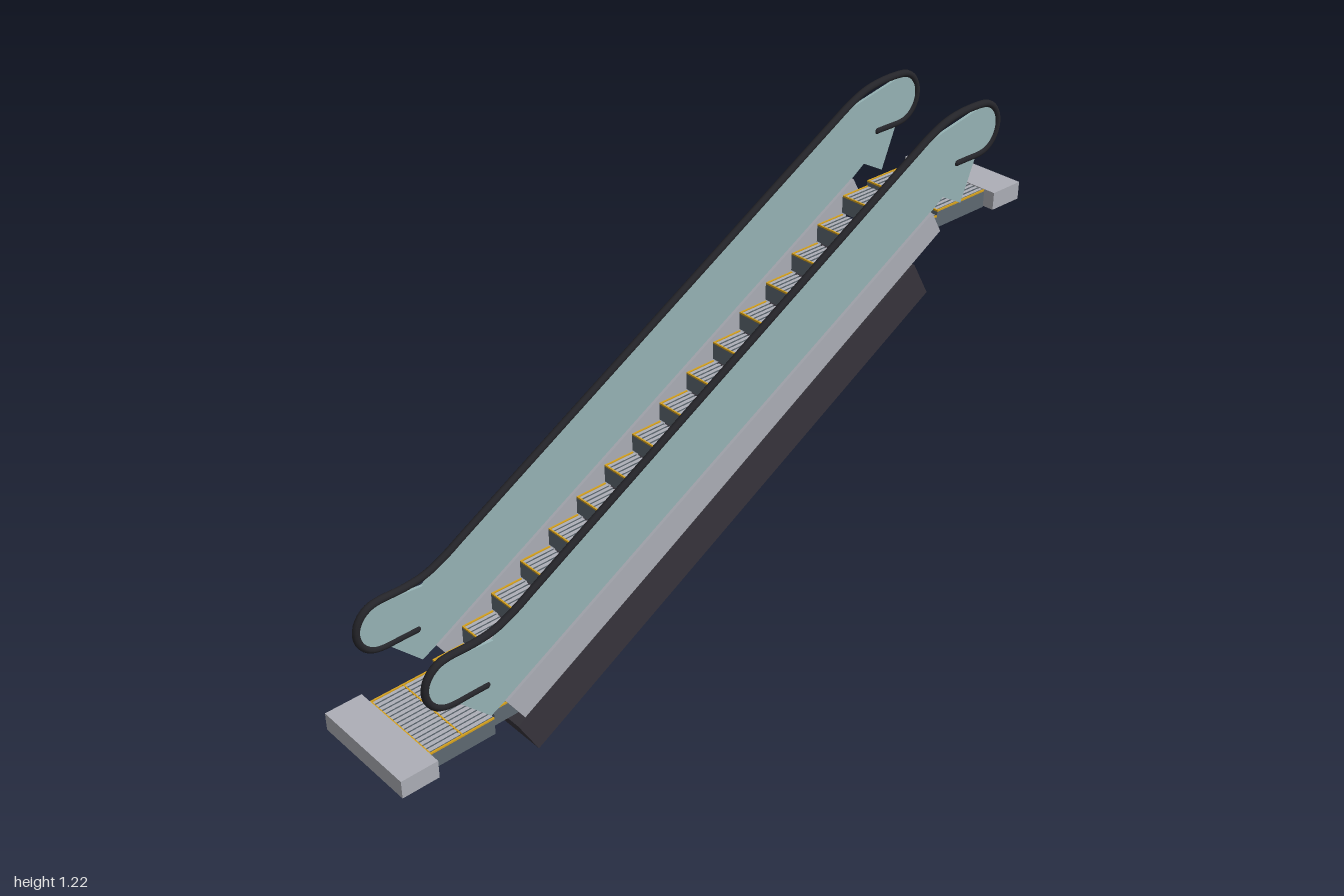
import * as THREE from 'three';

const mat = (name, color, side = THREE.FrontSide) => {
  const m = new THREE.MeshStandardMaterial({ color, side });
  m.name = name;
  return m;
};

export function createModel() {
  const steel = mat('brushed steel', 0xadafb7);
  const slate = mat('slate metal', 0x5f6a72);
  const dark = mat('dark truss', 0x37343c);
  const rubber = mat('black rubber', 0x25252a);
  const glass = mat('tinted glass', 0x97b4b6, THREE.DoubleSide);
  const yellow = mat('safety yellow', 0xd6a21e);

  const model = new THREE.Group();
  model.name = 'escalator';

  const add = (name, geo, material, parent = model) => {
    const mesh = new THREE.Mesh(geo, material);
    mesh.name = name;
    parent.add(mesh);
    return mesh;
  };
  // Box given by its lower and upper corners
  const box = (name, x0, x1, y0, y1, z0, z1, material, parent) => {
    const mesh = add(name, new THREE.BoxGeometry(x1 - x0, y1 - y0, z1 - z0), material, parent);
    mesh.position.set((x0 + x1) / 2, (y0 + y1) / 2, (z0 + z1) / 2);
    return mesh;
  };
  // Side profile extruded between two z values
  const slab = (name, shape, z0, z1, material, parent) => {
    const geo = new THREE.ExtrudeGeometry(shape, { depth: z1 - z0, bevelEnabled: false, curveSegments: 14 });
    geo.translate(0, 0, z0);
    return add(name, geo, material, parent);
  };
  const polygon = (pts) => new THREE.Shape(pts.map(([x, y]) => new THREE.Vector2(x, y)));

  // Inclined truss
  slab('truss', polygon([[-0.62, 0], [0.668, 0.749], [0.613, 0.845], [-0.675, 0.1]]), -0.148, 0.148, dark);

  // Landing plates
  box('lowerLanding', -1, -0.9, 0.088, 0.137, -0.152, 0.152, steel);
  box('upperLanding', 0.9, 1, 0.905, 0.952, -0.152, 0.152, steel);

  // Steps: two flat ones at each end, the rest climbing
  const count = 20, run = 0.09, half = 0.12;
  const topOf = (i) => {
    if (i < 2) return 0.135;
    if (i > 17) return 0.95;
    return 0.16 + (i - 2) * 0.0517;
  };
  const ribSides = [slate, slate, steel, slate, slate, slate];
  const ribs = 16, pitch = (2 * half - 0.008) / ribs;
  for (let i = 0; i < count; i++) {
    const step = new THREE.Group();
    step.name = 'step' + (i + 1);
    model.add(step);
    const x0 = -0.9 + i * run, x1 = x0 + run, top = topOf(i);
    box('stepBody', x0, x1, top - 0.048, top - 0.004, -half, half, ribSides, step);
    // Grooved tread
    for (let r = 0; r < ribs; r++) {
      const z = -half + 0.004 + pitch * (r + 0.2);
      box('treadRib', x0 + 0.004, x1, top - 0.004, top, z, z + pitch * 0.6, ribSides, step);
    }
    // Painted step borders
    box('frontLine', x0, x0 + 0.004, top - 0.004, top + 0.0005, -half, half, yellow, step);
    for (const s of [-1, 1]) {
      const a = s * half, b = s * (half - 0.004);
      box('sideLine', x0 + 0.004, x1, top - 0.004, top + 0.0005, Math.min(a, b), Math.max(a, b), yellow, step);
    }
  }

  // Glass balustrade profile with round ends
  const panel = new THREE.Shape();
  panel.moveTo(-0.83, 0.257);
  [[-0.74, 0.165], [-0.7, 0.185], [0.67, 0.965], [0.715, 0.995], [0.785, 0.957], [0.83, 1.072]]
    .forEach(([x, y]) => panel.lineTo(x, y));
  panel.absarc(0.84, 1.14, 0.062, -1.5, 1.45, false);
  [[0.64, 1.16], [-0.67, 0.405], [-0.72, 0.372], [-0.85, 0.384]].forEach(([x, y]) => panel.lineTo(x, y));
  panel.absarc(-0.84, 0.323, 0.062, 1.7, 4.7, false);

  // Handrail path: straight runs, easing curves and a half turn at each end
  const v = (x, y) => new THREE.Vector3(x, y, 0);
  const path = [v(-0.745, 0.257), v(-0.79, 0.257)];
  for (let k = 0; k <= 8; k++) {
    const a = -Math.PI / 2 - (k / 8) * Math.PI;
    path.push(v(-0.84 + 0.066 * Math.cos(a), 0.323 + 0.066 * Math.sin(a)));
  }
  path.push(v(-0.77, 0.389), v(-0.71, 0.397), v(-0.65, 0.423), v(-0.6, 0.452));
  path.push(v(0, 0.797), v(0.6, 1.142), v(0.65, 1.17), v(0.71, 1.195), v(0.77, 1.205));
  for (let k = 0; k <= 8; k++) {
    const a = Math.PI / 2 - (k / 8) * Math.PI;
    path.push(v(0.84 + 0.066 * Math.cos(a), 1.139 + 0.066 * Math.sin(a)));
  }
  path.push(v(0.8, 1.073), v(0.76, 1.073));
  const railGeo = new THREE.TubeGeometry(new THREE.CatmullRomCurve3(path, false, 'centripetal'), 200, 0.0095, 10, false);
  const capGeo = new THREE.SphereGeometry(0.0095, 10, 8);
  const skirt = polygon([[-0.65, 0.11], [0.705, 0.908], [0.67, 0.968], [-0.7, 0.187]]);

  // Mirrored side assemblies
  for (const [side, s] of [['left', 1], ['right', -1]]) {
    const group = new THREE.Group();
    group.name = side + 'Balustrade';
    model.add(group);
    const c = s * 0.134;
    slab('skirtPanel', skirt, c - 0.012, c + 0.012, steel, group);
    slab('glassPanel', panel, c - 0.004, c + 0.004, glass, group);
    add('handrail', railGeo, rubber, group).position.z = c;
    for (const end of [path[0], path[path.length - 1]]) {
      add('handrailEnd', capGeo, rubber, group).position.set(end.x, end.y, c);
    }
  }
  return model;
}
